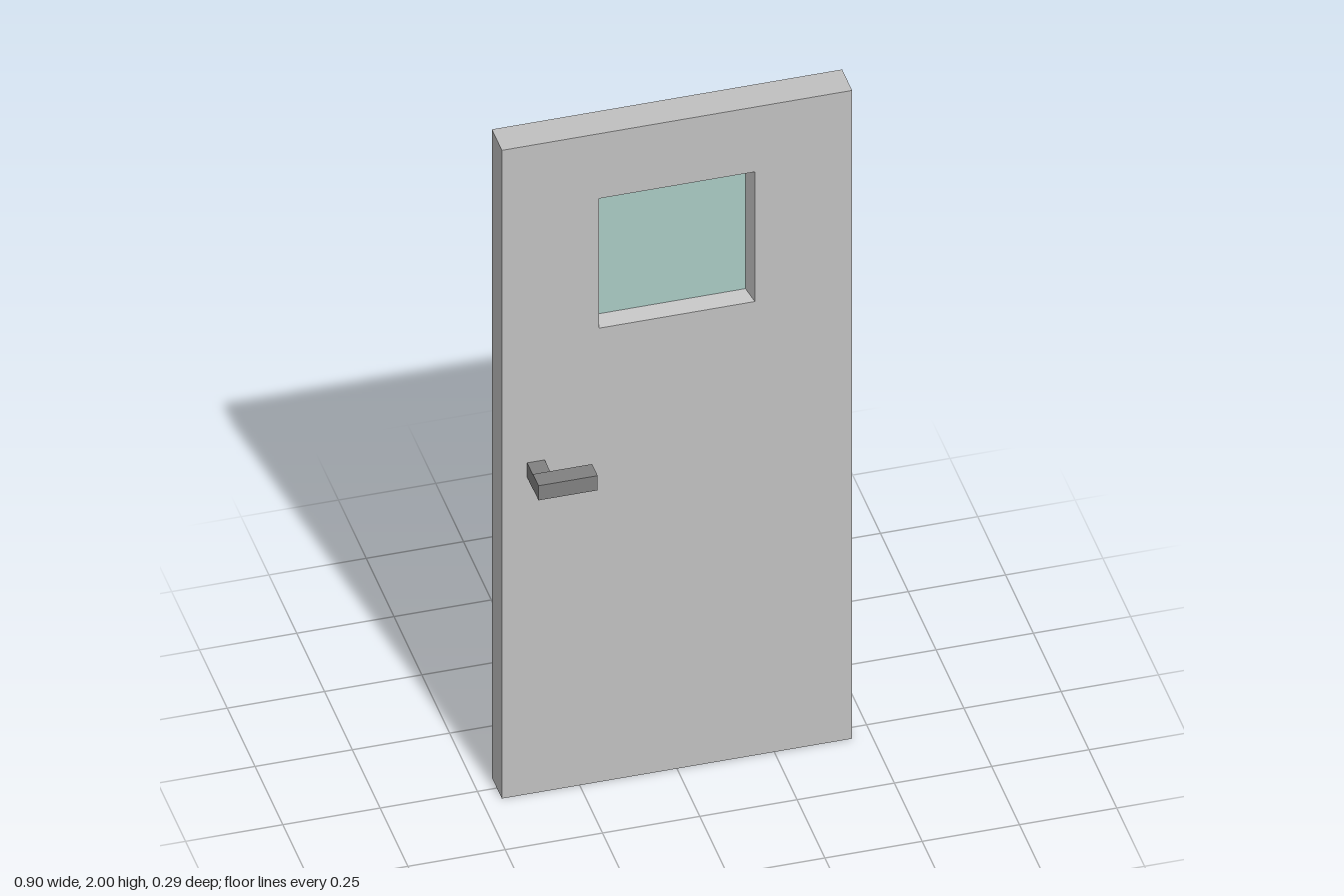
import * as THREE from 'three';

// Corners of a rectangle, counter-clockwise from the front
function ring(halfW, halfH, centreY, z) {
  return [[-1, -1], [1, -1], [1, 1], [-1, 1]].map(([sx, sy]) => [sx * halfW, centreY + sy * halfH, z]);
}

// Skin consecutive rings with flat quads
function skin(rings) {
  const pos = [];
  for (let r = 0; r < rings.length - 1; r++) {
    const a = rings[r], b = rings[r + 1];
    for (let i = 0; i < 4; i++) {
      const j = (i + 1) % 4;
      pos.push(...b[i], ...b[j], ...a[j], ...b[i], ...a[j], ...a[i]);
    }
  }
  const geo = new THREE.BufferGeometry();
  geo.setAttribute('position', new THREE.Float32BufferAttribute(pos, 3));
  geo.computeVertexNormals();
  return geo;
}

export function createModel() {
  const model = new THREE.Group();
  model.name = 'door';
  const panelGrey = new THREE.MeshStandardMaterial({ name: 'panelGrey', color: 0xc0c0c0 });
  const handleGrey = new THREE.MeshStandardMaterial({ name: 'handleGrey', color: 0x808080 });
  const paleGlass = new THREE.MeshStandardMaterial({ name: 'paleGlass', color: 0xa9c9c3 });

  const add = (parent, name, geo, mat, x = 0, y = 0, z = 0) => {
    const mesh = new THREE.Mesh(geo, mat);
    mesh.name = name;
    mesh.position.set(x, y, z);
    parent.add(mesh);
  };

  // Slab with a window opening that narrows towards the glass from both faces
  const half = 0.045, windowY = 1.6;
  add(model, 'doorPanel', skin([
    ring(0.187, 0.187, windowY, 0),
    ring(0.2, 0.2, windowY, half),
    ring(0.45, 1, 1, half),
    ring(0.45, 1, 1, -half),
    ring(0.2, 0.2, windowY, -half),
    ring(0.187, 0.187, windowY, 0),
  ]), panelGrey);

  // Glass pane in the middle of the opening
  add(model, 'windowGlass', new THREE.BoxGeometry(0.378, 0.378, 0.006), paleGlass, 0, windowY, 0);

  // Lever handle on each face
  for (const side of [1, -1]) {
    const handle = new THREE.Group();
    handle.name = side > 0 ? 'frontHandle' : 'backHandle';
    add(handle, 'shank', new THREE.BoxGeometry(0.045, 0.045, 0.06), handleGrey, -0.3625, 1, side * 0.07);
    add(handle, 'lever', new THREE.BoxGeometry(0.152, 0.045, 0.05), handleGrey, -0.309, 1.0025, side * 0.122);
    model.add(handle);
  }
  return model;
}
